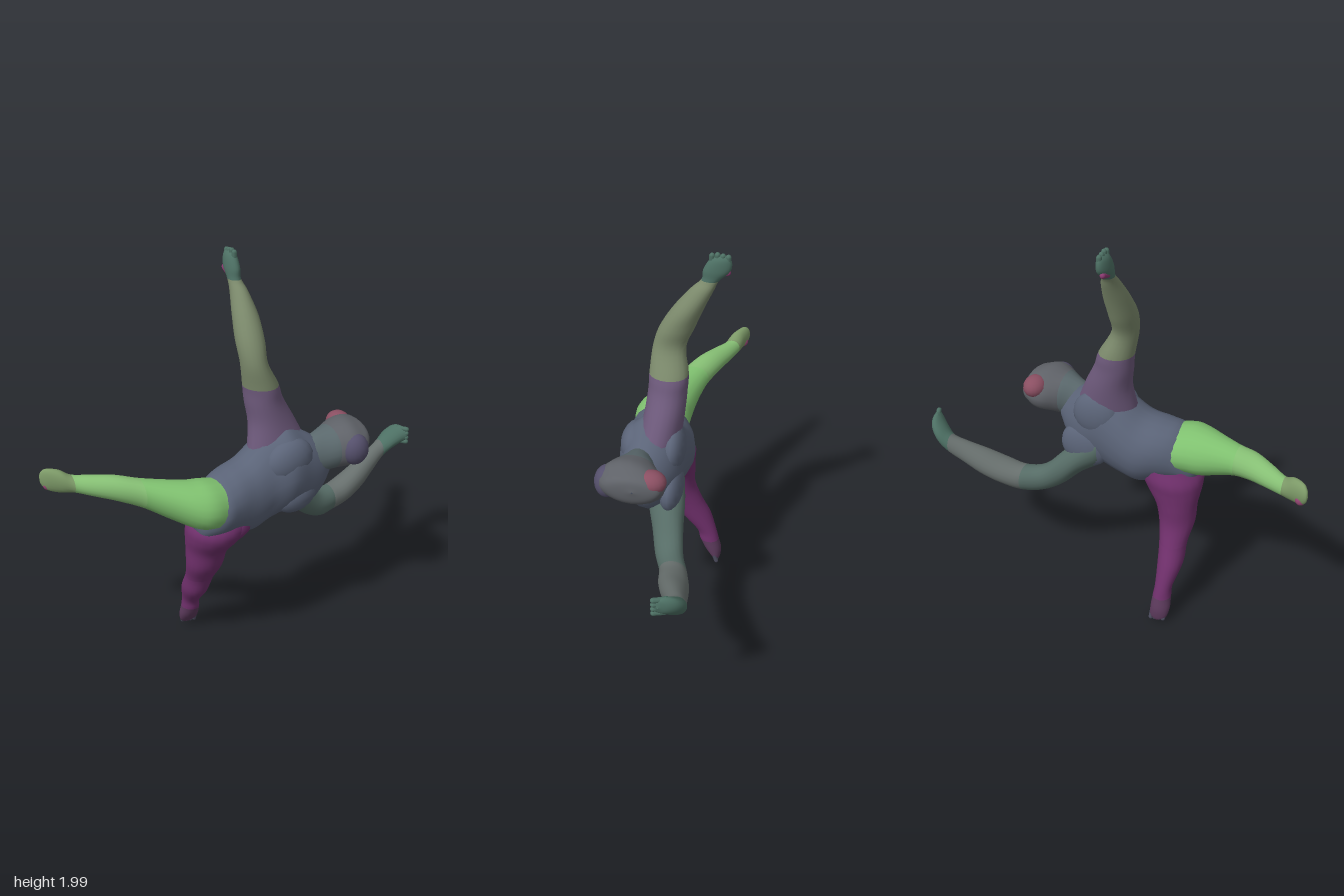
import * as THREE from 'three';

const SIDES = 20, STEPS = 5;

// Lofts ellipses [x, y, z, a, b] lying in planes across the given axis.
// axis 'x': a = half height, b = half depth; axis 'y': a = half width, b = half depth.
// parts: [name, colour, first section, last section]
function loft(group, axis, sections, parts) {
  const n = sections.length - 1;
  const path = new THREE.CatmullRomCurve3(sections.map(s => new THREE.Vector3(s[0], s[1], s[2])), false, 'catmullrom');
  const size = new THREE.CatmullRomCurve3(sections.map(s => new THREE.Vector3(s[3], s[4], 0)), false, 'catmullrom');
  const k = axis === 'x' ? 0 : 1;
  const rising = sections[n][k] > sections[0][k];
  const flip = axis === 'x' ? !rising : rising;
  for (const [name, color, from, to] of parts) {
    const pos = [], idx = [], rings = (to - from) * STEPS;
    for (let i = 0; i <= rings; i++) {
      const t = Math.min(1, (from + i / STEPS) / n);
      const c = path.getPoint(t), r = size.getPoint(t);
      for (let j = 0; j < SIDES; j++) {
        const q = j / SIDES * Math.PI * 2;
        // faint muscle ripple
        const m = 1 + 0.018 * Math.sin(3 * q + t * 14);
        const u = Math.cos(q) * Math.max(r.x, 0.001) * m, v = Math.sin(q) * Math.max(r.y, 0.001) * m;
        if (axis === 'x') pos.push(c.x, c.y + u, c.z + v);
        else pos.push(c.x + u, c.y, c.z + v);
        if (i === rings) continue;
        const a = i * SIDES + j, b = i * SIDES + (j + 1) % SIDES, d = a + SIDES, e = b + SIDES;
        if (flip) idx.push(a, d, b, b, d, e);
        else idx.push(a, b, d, b, e, d);
      }
    }
    const g = new THREE.BufferGeometry();
    g.setAttribute('position', new THREE.Float32BufferAttribute(pos, 3));
    g.setIndex(idx);
    g.computeVertexNormals();
    addMesh(group, name, g, color);
  }
}

function addMesh(group, name, geometry, color) {
  const mesh = new THREE.Mesh(geometry, new THREE.MeshStandardMaterial({ color }));
  mesh.name = name;
  group.add(mesh);
  return mesh;
}

function blob(group, name, color, p, s, rotZ = 0) {
  const mesh = addMesh(group, name, new THREE.SphereGeometry(1, 18, 12), color);
  mesh.position.set(...p);
  mesh.scale.set(...s);
  mesh.rotation.z = rotZ;
}

// Thin digit from one point to another
function digit(group, name, color, a, b, r) {
  const A = new THREE.Vector3(...a), B = new THREE.Vector3(...b), d = B.clone().sub(A);
  const mesh = addMesh(group, name, new THREE.CapsuleGeometry(r, d.length(), 3, 8), color);
  mesh.position.copy(A).add(B).multiplyScalar(0.5);
  mesh.quaternion.setFromUnitVectors(new THREE.Vector3(0, 1, 0), d.normalize());
}

export function createModel() {
  const root = new THREE.Group();
  root.name = 'leapingFigure';
  const SLATE = 0x5b6478, GREEN = 0x7fc06f, PURPLE = 0x70306c, TEAL = 0x4d7064;

  // Torso from hips to shoulders
  loft(root, 'x', [
    [-0.39, 0.80, 0.08, 0.03, 0.03], [-0.36, 0.81, 0.085, 0.10, 0.09], [-0.28, 0.85, 0.09, 0.14, 0.14],
    [-0.2, 0.86, 0.07, 0.16, 0.155], [-0.1, 0.86, 0.05, 0.19, 0.16], [0, 0.91, 0.045, 0.215, 0.155],
    [0.1, 0.95, 0.06, 0.23, 0.16], [0.2, 0.925, 0.06, 0.21, 0.14], [0.28, 0.93, 0.07, 0.15, 0.11],
    [0.34, 0.96, 0.08, 0.07, 0.07],
  ], [['torso', SLATE, 0, 9]]);
  blob(root, 'rightChest', SLATE, [0.1, 1.02, 0.14], [0.13, 0.11, 0.075], 0.3);
  blob(root, 'leftChest', SLATE, [0.14, 0.83, 0.13], [0.12, 0.095, 0.075], 0.3);
  blob(root, 'rightShoulderBlade', SLATE, [0.12, 1.03, -0.04], [0.12, 0.12, 0.06]);
  blob(root, 'leftShoulderBlade', SLATE, [0.18, 0.84, -0.04], [0.13, 0.12, 0.06]);

  // Neck and head, widening towards the face
  loft(root, 'x', [
    [0.2, 0.98, 0.09, 0.09, 0.08], [0.28, 1.0, 0.1, 0.105, 0.085], [0.35, 1.02, 0.105, 0.11, 0.115],
    [0.42, 1.035, 0.105, 0.11, 0.155], [0.48, 1.045, 0.09, 0.092, 0.15],
    [0.525, 1.055, 0.08, 0.06, 0.11], [0.54, 1.06, 0.075, 0.004, 0.004],
  ], [['neck', 0x5a686c, 0, 2], ['head', 0x5f6268, 2, 6]]);
  blob(root, 'chin', 0x55506c, [0.43, 1.03, 0.21], [0.07, 0.08, 0.06]);
  blob(root, 'brow', 0x8a4f62, [0.47, 1.08, 0.0], [0.06, 0.055, 0.07]);

  // Raised right arm
  loft(root, 'y', [
    [0.09, 1.08, 0.03, 0.15, 0.10], [0.07, 1.2, 0.01, 0.115, 0.095], [0.04, 1.3, 0.0, 0.095, 0.092],
    [0.025, 1.38, -0.003, 0.085, 0.092], [-0.015, 1.5, 0.003, 0.062, 0.077], [-0.018, 1.6, -0.03, 0.066, 0.08],
    [-0.012, 1.7, -0.08, 0.06, 0.07], [-0.01, 1.8, -0.142, 0.04, 0.053], [-0.015, 1.85, -0.178, 0.03, 0.04],
    [-0.014, 1.9, -0.205, 0.032, 0.06], [-0.012, 1.95, -0.22, 0.024, 0.048], [-0.01, 1.975, -0.225, 0.004, 0.02],
  ], [['rightUpperArm', 0x6e5a7c, 0, 3], ['rightForearm', 0x7c8a6c, 3, 8], ['rightHand', TEAL, 8, 11]]);
  for (let i = 0; i < 4; i++) {
    const z = -0.183 - i * 0.024;
    digit(root, 'rightFinger' + (i + 1), TEAL, [-0.012, 1.92, z], [-0.01, 1.973 - 0.004 * Math.abs(i - 1), z], 0.013);
  }
  digit(root, 'rightThumb', 0x8a3a70, [-0.03, 1.87, -0.2], [-0.025, 1.885, -0.252], 0.014);

  // Lowered left arm, bent at the elbow
  loft(root, 'x', [
    [0.1, 0.84, 0.0, 0.11, 0.09], [0.2, 0.77, -0.02, 0.10, 0.09], [0.3, 0.675, -0.045, 0.095, 0.075],
    [0.4, 0.6, -0.07, 0.073, 0.068], [0.5, 0.588, -0.105, 0.068, 0.066], [0.6, 0.61, -0.123, 0.07, 0.072],
    [0.7, 0.65, -0.145, 0.07, 0.065], [0.8, 0.702, -0.17, 0.058, 0.05], [0.87, 0.742, -0.187, 0.05, 0.045],
    [0.92, 0.785, -0.182, 0.053, 0.055], [0.96, 0.82, -0.16, 0.052, 0.055], [0.985, 0.83, -0.135, 0.035, 0.04],
    [0.994, 0.83, -0.125, 0.003, 0.003],
  ], [['leftUpperArm', 0x566c66, 0, 4], ['leftForearm', 0x68706e, 4, 8], ['leftHand', TEAL, 8, 12]]);
  for (let i = 0; i < 4; i++) {
    const y = 0.785 + i * 0.024;
    digit(root, 'leftFinger' + (i + 1), TEAL, [0.965, y, -0.15], [0.985, y + 0.006, -0.105], 0.013);
  }
  digit(root, 'leftThumb', TEAL, [0.94, 0.82, -0.17], [0.965, 0.86, -0.155], 0.014);

  // Right leg stretched sideways
  loft(root, 'x', [
    [-0.25, 0.87, 0.09, 0.12, 0.135], [-0.33, 0.885, 0.095, 0.12, 0.142], [-0.4, 0.893, 0.08, 0.115, 0.132],
    [-0.5, 0.925, 0.03, 0.094, 0.1], [-0.6, 0.96, -0.025, 0.072, 0.076], [-0.7, 0.987, -0.08, 0.063, 0.07],
    [-0.8, 0.998, -0.14, 0.05, 0.058], [-0.87, 1.005, -0.185, 0.043, 0.045], [-0.92, 1.02, -0.21, 0.058, 0.038],
    [-0.97, 1.028, -0.24, 0.055, 0.028], [-0.993, 1.03, -0.255, 0.033, 0.015], [-1.0, 1.03, -0.258, 0.003, 0.003],
  ], [['rightThigh', GREEN, 0, 4], ['rightShin', 0x86bf74, 4, 7], ['rightFoot', 0x7d9a68, 7, 11]]);
  blob(root, 'rightToes', 0x9a4a78, [-0.965, 1.0, -0.245], [0.025, 0.03, 0.02]);

  // Left leg pointing down
  loft(root, 'y', [
    [-0.22, 0.8, 0.06, 0.14, 0.13], [-0.245, 0.74, 0.06, 0.155, 0.15], [-0.265, 0.68, 0.05, 0.138, 0.14],
    [-0.288, 0.6, 0.022, 0.103, 0.108], [-0.297, 0.5, 0.005, 0.09, 0.09], [-0.3, 0.4, -0.045, 0.07, 0.075],
    [-0.307, 0.3, -0.09, 0.063, 0.078], [-0.3, 0.2, -0.15, 0.044, 0.052], [-0.297, 0.14, -0.168, 0.046, 0.05],
    [-0.297, 0.08, -0.19, 0.05, 0.042], [-0.293, 0.03, -0.208, 0.042, 0.022], [-0.29, 0.01, -0.215, 0.01, 0.008],
  ], [['leftThigh', PURPLE, 0, 5], ['leftShin', PURPLE, 5, 8], ['leftFoot', 0x5c3a5c, 8, 11]]);
  for (let i = 0; i < 4; i++) {
    const x = -0.325 + i * 0.022;
    digit(root, 'leftToe' + (i + 1), 0x4a4a5c, [x, 0.05, -0.2], [x + 0.002, 0.024 - i * 0.004, -0.213], 0.012);
  }
  // Crotch fill joining both thighs
  blob(root, 'leftGroin', PURPLE, [-0.2, 0.74, 0.08], [0.12, 0.085, 0.12], 0.35);
  return root;
}
